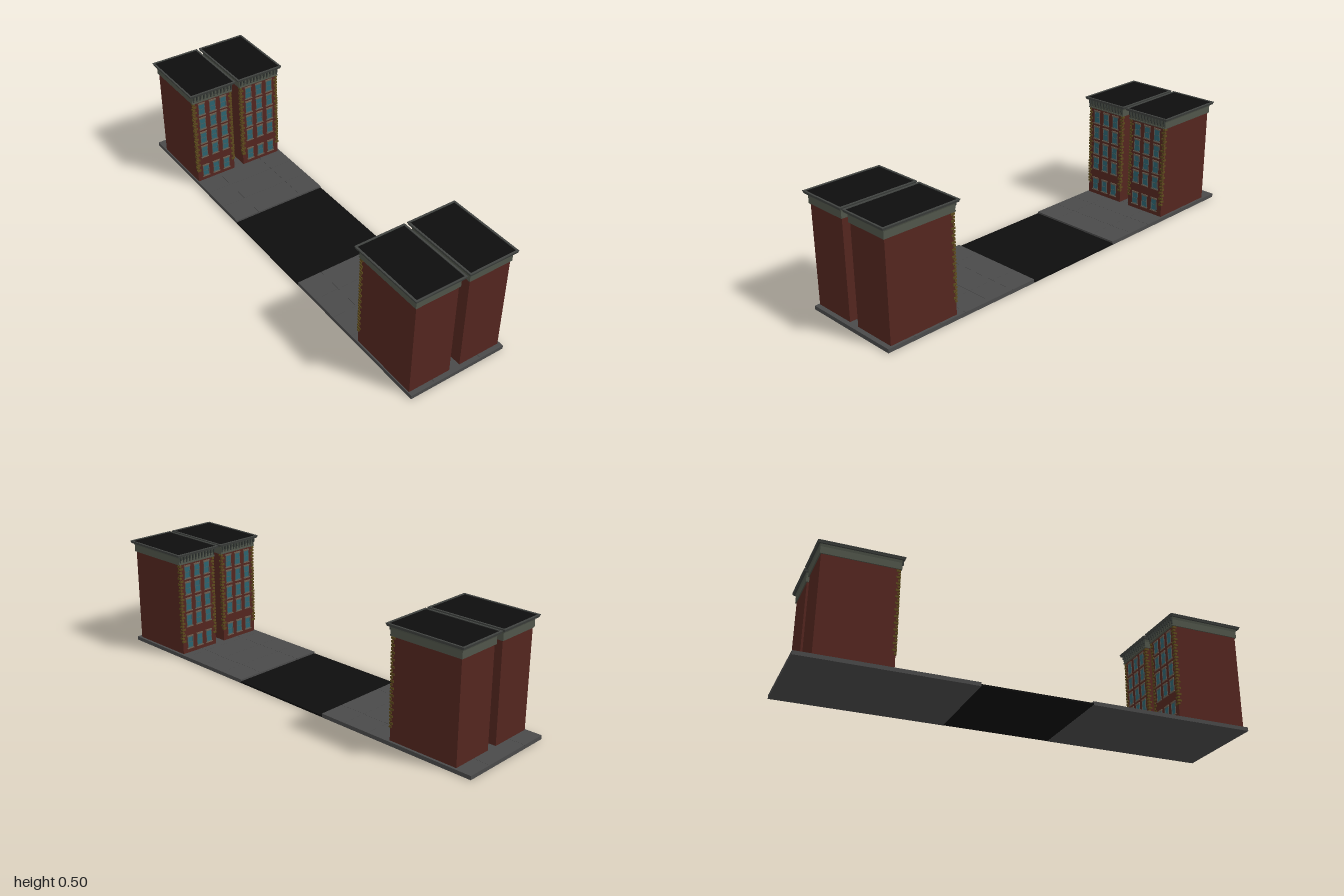
import * as THREE from 'three';

const mat = (color, extra = {}) => new THREE.MeshStandardMaterial({ color, ...extra });
const M = {
  brick: mat(0x54261f), stone: mat(0x50554a), lip: mat(0x404340), roof: mat(0x0d0d0d),
  pavement: mat(0x4a4a4a), quoin: mat(0x5c4a1c), trim: mat(0x6a5f50), frame: mat(0x555a58),
  glass: mat(0x2b6470), bracket: mat(0x353a36),
};
const W = 0.196, D = 0.321, BASE = 0.017, TOP = 0.45;

function box(parent, name, material, w, h, d, x, y, z) {
  const m = new THREE.Mesh(new THREE.BoxGeometry(w, h, d), material);
  m.name = name;
  m.position.set(x, y, z);
  parent.add(m);
  return m;
}

// Rectangular rings around the house walls: rows of [overhang, y]
function rectLoft(rows) {
  const pos = [];
  const corner = ([o, y], i) => {
    const sx = [1, 1, -1, -1][i % 4], sz = [1, -1, -1, 1][i % 4];
    return [sx * (W / 2 + o), y, sz * (D / 2 + o)];
  };
  for (let r = 0; r < rows.length - 1; r++) {
    for (let i = 0; i < 4; i++) {
      const a = corner(rows[r], i), b = corner(rows[r], i + 1);
      const c = corner(rows[r + 1], i + 1), d = corner(rows[r + 1], i);
      pos.push(...a, ...b, ...c, ...a, ...c, ...d);
    }
  }
  const g = new THREE.BufferGeometry();
  g.setAttribute('position', new THREE.Float32BufferAttribute(pos, 3));
  g.computeVertexNormals();
  return g;
}

function createWindow(x, y, z) {
  const g = new THREE.Group();
  g.name = 'window';
  g.position.set(x, y, z);
  const w = 0.032, h = 0.056;
  box(g, 'pane', M.glass, w, h, 0.001, 0, 0, 0.0005);
  for (const s of [-1, 1]) {
    box(g, 'frameSide', M.frame, 0.003, h, 0.003, s * (w / 2 - 0.0015), 0, 0.0015);
    box(g, 'frameRail', M.frame, w, 0.003, 0.003, 0, s * (h / 2 - 0.0015), 0.0015);
  }
  box(g, 'sashBar', M.frame, w, 0.002, 0.002, 0, 0, 0.0012);
  box(g, 'sill', M.trim, w + 0.006, 0.004, 0.005, 0, -h / 2 - 0.002, 0.0025);
  box(g, 'lintel', M.trim, w + 0.004, 0.006, 0.004, 0, h / 2 + 0.003, 0.002);
  return g;
}

// One house, its street facade facing +z
function createHouse() {
  const g = new THREE.Group();
  g.name = 'house';
  const front = D / 2;
  box(g, 'brickWalls', M.brick, W, TOP - BASE, D, 0, (TOP + BASE) / 2, 0);

  // Windows: four even upper floors and a lower ground floor
  for (const y of [0.068, 0.176, 0.253, 0.331, 0.408])
    for (const x of [-0.056, 0, 0.056]) g.add(createWindow(x, y, front));

  // Corner stones, alternating long and short
  const count = 26, pitch = (TOP - 0.07) / count;
  for (let i = 0; i < count; i++) {
    const w = i % 2 ? 0.011 : 0.018, d = i % 2 ? 0.018 : 0.011;
    for (const s of [-1, 1])
      box(g, 'quoin', M.quoin, w, pitch * 0.62, d,
        s * (W / 2 + 0.003 - w / 2), 0.07 + pitch * (i + 0.5), front + 0.004 - d / 2);
  }

  // Cornice band, flared lip and recessed roof
  const band = new THREE.Mesh(rectLoft([[0, TOP], [0.005, TOP], [0.005, 0.48], [0.008, 0.491]]), M.stone);
  band.name = 'corniceBand';
  const lip = new THREE.Mesh(
    rectLoft([[0, 0.4905], [0.016, 0.4905], [0.0175, 0.496], [0.019, 0.499], [0.019, 0.502], [0.011, 0.502], [0.011, 0.496]]), M.lip);
  lip.name = 'corniceLip';
  g.add(band, lip);
  box(g, 'roof', M.roof, W + 0.022, 0.005, D + 0.022, 0, 0.4965, 0);

  // Brackets and lower moulding under the lip on the street side
  const n = 12;
  for (let i = 0; i < n; i++) {
    const x = (i / (n - 1) - 0.5) * (W - 0.002);
    box(g, 'bracket', M.bracket, 0.006, 0.018, 0.010, x, 0.4815, front + 0.009);
    box(g, 'bracketFoot', M.bracket, 0.005, 0.012, 0.005, x, 0.4665, front + 0.0065);
  }
  box(g, 'corniceMoulding', M.stone, W + 0.01, 0.005, 0.006, 0, 0.4535, front + 0.005);
  return g;
}

// Pavement with slab joints, running from z0 to z1
function createPavement(z0, z1) {
  const g = new THREE.Group();
  g.name = 'pavement';
  const xs = [-0.228, -0.111, 0.115, 0.232], rows = 6, step = (z1 - z0) / rows, gap = 0.0008;
  box(g, 'pavementBase', M.pavement, 0.459, 0.015, z1 - z0 - 0.001, 0.002, 0.0075, (z0 + z1) / 2);
  for (let r = 0; r < rows; r++)
    for (let c = 0; c < 3; c++)
      box(g, 'slab', M.pavement, xs[c + 1] - xs[c] - gap, BASE - 0.001, step - gap,
        (xs[c] + xs[c + 1]) / 2, (BASE + 0.001) / 2, z0 + step * (r + 0.5));
  return g;
}

export function createModel() {
  const model = new THREE.Group();
  model.name = 'streetBlock';
  box(model, 'road', M.roof, 0.46, 0.008, 0.494, 0.002, 0.005, -0.002);
  model.add(createPavement(0.245, 1), createPavement(-1, -0.249));

  // Two houses on each side, facing each other over the road
  for (const x of [-0.124, 0.1225]) {
    const near = createHouse();
    near.rotation.y = Math.PI;
    near.position.set(x, 0, 0.8185);
    const far = createHouse();
    far.position.set(x, 0, -0.7645);
    model.add(near, far);
  }
  return model;
}
